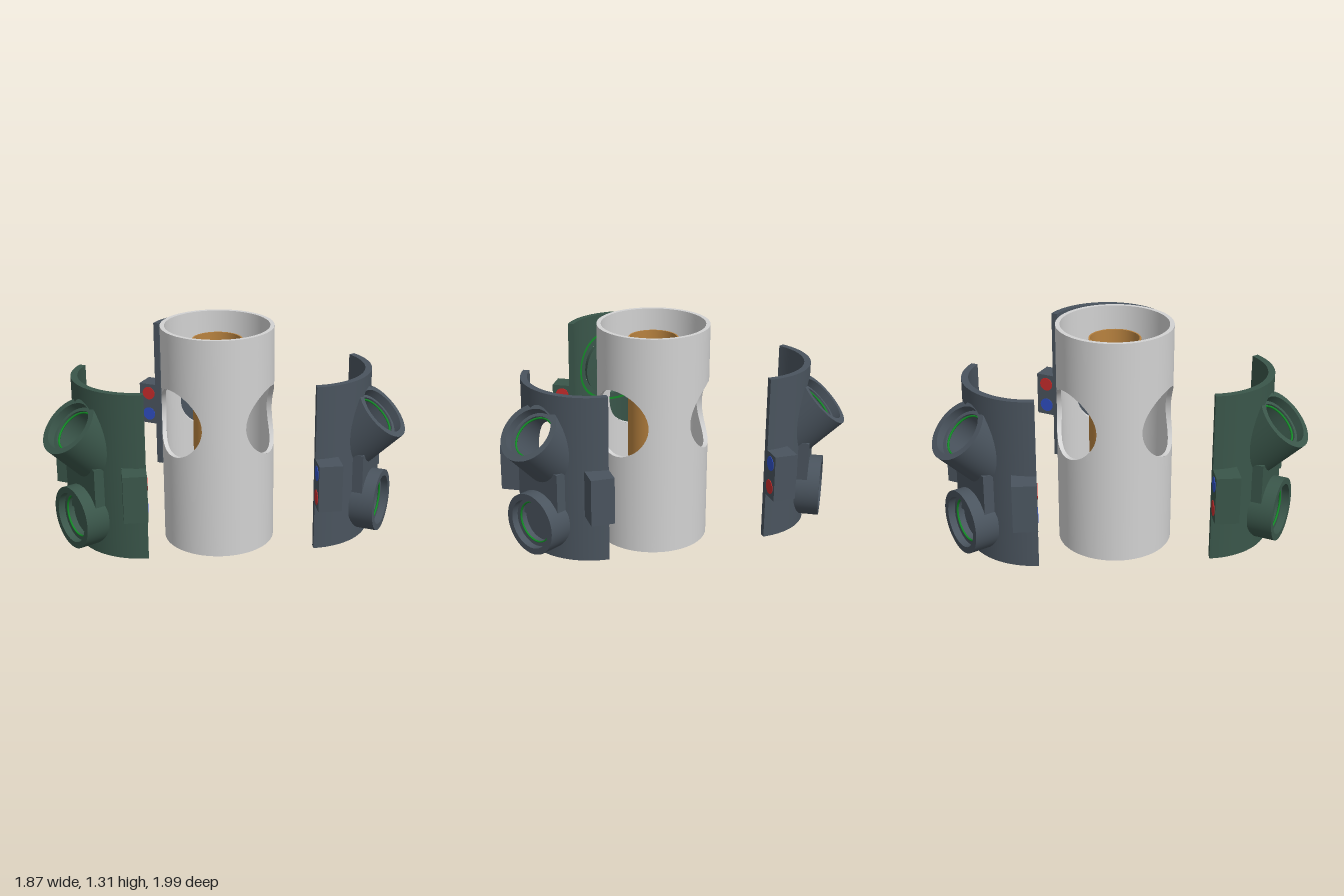
import * as THREE from 'three';
import { mergeGeometries } from 'three/addons/utils/BufferGeometryUtils.js';

const mat = (name, color, side = THREE.FrontSide) =>
  Object.assign(new THREE.MeshStandardMaterial({ color, side }), { name });

const HOLE_Y = 0.78;           // height of the windows and angled ports
const AXIS_X = 0.315;          // radius at which the angled port axis meets HOLE_Y
const D = Math.SQRT1_2;
const PHIS = Array.from({ length: 64 }, (_, i) => (i / 64) * Math.PI * 2);

// Point where a bore of radius b meets a cylinder of radius r (tilt 1 = bore rising at 45 degrees)
function borePoint(r, b, tilt, phi) {
  const z = b * Math.cos(phi);
  const x = Math.sqrt(r * r - z * z);
  const y = HOLE_Y + (tilt ? x - AXIS_X + (b * Math.sin(phi)) / D : b * Math.sin(phi));
  return new THREE.Vector3(x, y, z);
}
const boreRing = (r, b, tilt) => PHIS.map((p) => borePoint(r, b, tilt, p));

// Flat ring across the 45 degree axis, d along it
const planeRing = (d, b) => PHIS.map((p) => new THREE.Vector3(
  AXIS_X + D * (d - b * Math.sin(p)), HOLE_Y + D * (d + b * Math.sin(p)), b * Math.cos(p)));

// Skin through closed rings with equal point counts
function skin(rings) {
  const n = rings[0].length, index = [];
  for (let j = 0; j < rings.length - 1; j++) {
    for (let i = 0; i < n; i++) {
      const a = j * n + i, b = j * n + ((i + 1) % n);
      index.push(a, b, a + n, a + n, b, b + n);
    }
  }
  const g = new THREE.BufferGeometry().setFromPoints(rings.flat());
  g.setIndex(index);
  g.computeVertexNormals();
  return g;
}

// Skin with a sharp edge at every ring
const sharpSkin = (rings) => mergeGeometries(rings.slice(1).map((r, i) => skin([rings[i], r])));

// Border of a 120 degree sector as [angle, y] pairs
function sectorBorder(y0, y1) {
  const A = Math.PI / 3, n = 24, c = [[A, y0], [A, y1], [-A, y1], [-A, y0]], out = [];
  c.forEach((p, k) => {
    const q = c[(k + 1) % 4];
    for (let i = 0; i < n; i++) {
      out.push([p[0] + ((q[0] - p[0]) * i) / n, p[1] + ((q[1] - p[1]) * i) / n]);
    }
  });
  return out;
}
const onCylinder = (r, a, y) => new THREE.Vector3(r * Math.cos(a), y, r * Math.sin(a));

// Cylindrical sector surface with one hole, facing outward or inward
function sectorFace(r, y0, y1, b, tilt, inward) {
  const rows = 12, border = sectorBorder(y0, y1), rings = [];
  const yc = HOLE_Y + (tilt ? r - AXIS_X : 0);
  for (let j = 0; j <= rows; j++) {
    const t = j / rows;
    rings.push(border.map(([a, y]) => {
      const h = borePoint(r, b, tilt, Math.atan2(y - yc, a * r));
      const ha = Math.asin(h.z / r);
      return onCylinder(r, ha + (a - ha) * t, h.y + (y - h.y) * t);
    }));
  }
  const g = skin(inward ? rings.reverse() : rings);
  const p = g.attributes.position, s = inward ? -1 / r : 1 / r;
  for (let i = 0; i < p.count; i++) g.attributes.normal.setXYZ(i, p.getX(i) * s, 0, p.getZ(i) * s);
  return g;
}

// Flat edges joining the inner and outer sector faces
function sectorEdges(r0, r1, y0, y1) {
  const b = sectorBorder(y0, y1);
  const g = skin([r1, r0].map((r) => b.map(([a, y]) => onCylinder(r, a, y)))).toNonIndexed();
  g.computeVertexNormals();
  return g;
}

export function createModel() {
  const silver = mat('light grey', 0xd2d2d2);
  const bronze = mat('bronze', 0xb8823f);
  const slate = mat('slate grey', 0x4a545e);
  const green = mat('dark green', 0x3a564a);
  const seal = mat('seal green', 0x148a28, THREE.DoubleSide);
  const red = mat('magnet red', 0xc82c2c);
  const blue = mat('magnet blue', 0x2f4fc4);

  const model = new THREE.Group();
  const add = (parent, name, geo, material, x = 0, y = 0, z = 0) => {
    const m = new THREE.Mesh(geo, material);
    m.name = name;
    m.position.set(x, y, z);
    parent.add(m);
    return m;
  };
  const CX = -0.185;

  // Inner tube
  const innerProfile = [[0.137, 0.085], [0.146, 0.085], [0.146, 1.225], [0.137, 1.225], [0.137, 0.085]];
  const innerGeo = mergeGeometries(innerProfile.slice(1).map((p, i) =>
    new THREE.LatheGeometry([innerProfile[i], p].map((q) => new THREE.Vector2(...q)), 64)));
  add(model, 'innerTube', innerGeo, bronze, CX);

  // Main tube in three windowed sectors
  const tubeParts = [
    sectorFace(0.328, 0, 1.31, 0.2, 0, false),
    sectorFace(0.303, 0, 1.31, 0.2, 0, true),
    skin([boreRing(0.303, 0.2, 0), boreRing(0.328, 0.2, 0)]),
  ];

  // Port shell: curved plate, angled port with collar
  const R0 = 0.34, R1 = 0.377, Y0 = 0.18, Y1 = 1.13;
  const shellParts = [
    sectorFace(R1, Y0, Y1, 0.15, 1, false),
    sectorFace(R0, Y0, Y1, 0.195, 0, true),
  ];
  const shellGeo = mergeGeometries(shellParts);
  const edgeGeo = sectorEdges(R0, R1, Y0, Y1);
  const portGeo = sharpSkin([
    boreRing(R0, 0.195, 0), boreRing(0.303, 0.195, 0), boreRing(0.303, 0.12, 1),
    planeRing(0.16, 0.12), planeRing(0.16, 0.14), planeRing(0.207, 0.14),
    planeRing(0.207, 0.175), boreRing(0.36, 0.175, 1),
  ]);
  const gasketGeo = skin([boreRing(R0 - 0.003, 0.24, 0), boreRing(R0 - 0.003, 0.225, 0)]);

  // Closed lower port with a stepped recess
  const plugProfile = [[0.175, 0.338], [0.175, 0.475], [0.14, 0.475], [0.14, 0.435],
    [0.118, 0.435], [0.118, 0.39], [0, 0.39]];
  const plugGeo = mergeGeometries(plugProfile.slice(1).map((p, i) =>
    new THREE.LatheGeometry([plugProfile[i], p].map((q) => new THREE.Vector2(...q)), 64)));
  const ringGeo = new THREE.TorusGeometry(0.117, 0.006, 8, 64);
  const magnetGeo = new THREE.CylinderGeometry(0.042, 0.042, 0.006, 32);

  for (let k = 0; k < 3; k++) {
    const theta = (k * Math.PI * 2) / 3;

    const sector = new THREE.Group();
    sector.name = 'mainTube';
    sector.position.x = CX;
    sector.rotation.y = -theta;
    tubeParts.forEach((g, i) => add(sector, ['tubeOutside', 'tubeInside', 'windowEdge'][i], g, silver));
    add(sector, 'tubeRims', sectorEdges(0.303, 0.328, 0, 1.31), silver);
    model.add(sector);

    const body = k === 1 ? green : slate;
    const shell = new THREE.Group();
    shell.name = 'portShell';
    shell.position.set(CX + 0.53 * Math.cos(theta), 0, 0.53 * Math.sin(theta));
    shell.rotation.y = -theta;
    model.add(shell);
    add(shell, 'shellPlate', shellGeo, body);
    add(shell, 'shellEdges', edgeGeo, body);
    add(shell, 'angledPort', portGeo, body);
    add(shell, 'windowGasket', gasketGeo, seal);
    add(shell, 'portWeb', new THREE.BoxGeometry(0.06, 0.3, 0.3), body, 0.375, 0.55);
    add(shell, 'lowerPort', plugGeo, body, 0, 0.388).rotation.z = -Math.PI / 2;
    add(shell, 'lowerSeal', ringGeo, seal, 0.43, 0.388).rotation.y = Math.PI / 2;
    const upperSeal = add(shell, 'upperSeal', ringGeo, seal, AXIS_X + D * 0.145, HOLE_Y + D * 0.145);
    upperSeal.rotation.set(0, Math.PI / 2, Math.PI / 4, 'ZYX');

    // Magnetic clips on both edges
    for (const s of [-1, 1]) {
      const clip = new THREE.Group();
      clip.name = 'clip';
      clip.rotation.y = (-s * Math.PI) / 3;
      shell.add(clip);
      add(clip, 'clipBlock', new THREE.BoxGeometry(0.138, 0.265, 0.13), body, 0.419, 0.584, -s * 0.065);
      [0.655, 0.515].forEach((y, i) => {
        const m = (i === 0) === (s > 0) ? blue : red;
        add(clip, 'magnet', magnetGeo, m, 0.425, y, 0).rotation.x = Math.PI / 2;
      });
    }
  }
  return model;
}
